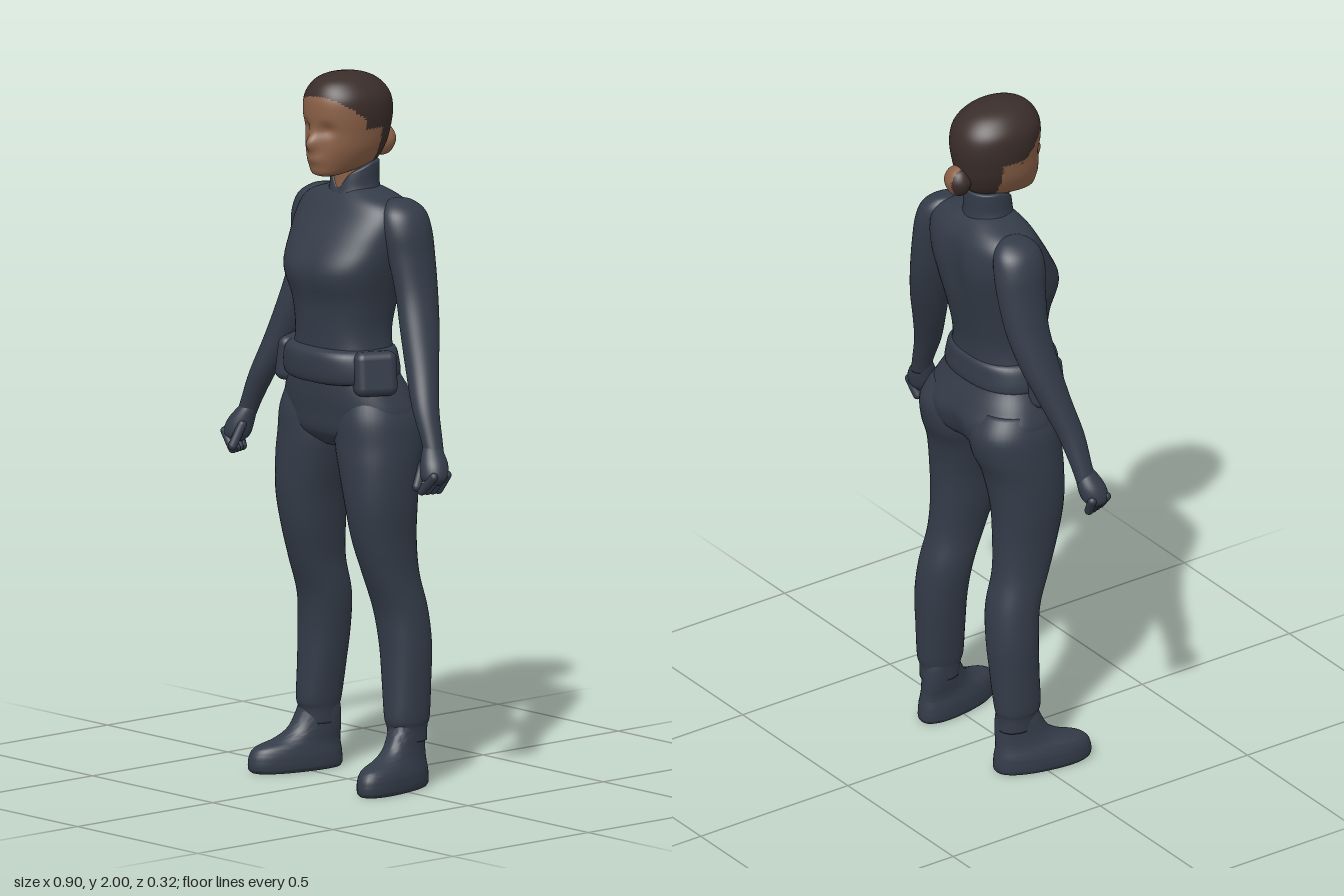
import * as THREE from 'three';
import { toCreasedNormals } from 'three/addons/utils/BufferGeometryUtils.js';
import { RoundedBoxGeometry } from 'three/addons/geometries/RoundedBoxGeometry.js';

const suit = new THREE.MeshStandardMaterial({ color: 0x343c49 });
suit.name = 'slate suit';
const skin = new THREE.MeshStandardMaterial({ color: 0x8a6047 });
skin.name = 'skin';
const hair = new THREE.MeshStandardMaterial({ color: 0x3a2d2a });
hair.name = 'dark brown hair';

// Smooth skin through level rings [y, centreX, halfWidth, zFront, zBack], listed from low to high.
function loft(rings, { n = 2, sides = 40, steps = 5, side = 1, warp, isHair } = {}) {
  const rows = (rings.length - 1) * steps;
  const pos = [];
  const sample = (t, k) => {
    const i = Math.min(Math.floor(t), rings.length - 2), u = t - i;
    const at = (j) => rings[Math.max(0, Math.min(rings.length - 1, j))][k];
    const [a, b, c, d] = [at(i - 1), at(i), at(i + 1), at(i + 2)];
    return b + 0.5 * u * (c - a + u * (2 * a - 5 * b + 4 * c - d + u * (3 * (b - c) + d - a)));
  };
  const power = (v) => Math.sign(v) * Math.abs(v) ** (2 / n);
  const push = (x, y, z) => {
    const v = new THREE.Vector3(x, y, z);
    if (warp) warp(v);
    pos.push(v.x, v.y, v.z);
  };
  for (let r = 0; r <= rows; r++) {
    const [y, cx, rx, zf, zb] = [0, 1, 2, 3, 4].map((k) => sample(r / steps, k));
    for (let s = 0; s < sides; s++) {
      const a = (s / sides) * Math.PI * 2;
      push(cx * side + rx * power(Math.cos(a)), y, (zf + zb) / 2 + ((zf - zb) / 2) * power(Math.sin(a)));
    }
  }
  for (const [y, cx, , zf, zb] of [rings[0], rings[rings.length - 1]]) push(cx * side, y, (zf + zb) / 2);
  const low = (rows + 1) * sides, top = low + 1;
  const plain = [], marked = [];
  const tri = (...ids) => {
    const c = [0, 1, 2].map((k) => ids.reduce((sum, i) => sum + pos[i * 3 + k] / 3, 0));
    (isHair && isHair(...c) ? marked : plain).push(...ids);
  };
  for (let s = 0; s < sides; s++) {
    const e = (s + 1) % sides;
    for (let r = 0; r < rows; r++) {
      const a = r * sides + s, b = r * sides + e;
      tri(a, a + sides, b);
      tri(b, a + sides, b + sides);
    }
    tri(low, s, e);
    tri(top, rows * sides + e, rows * sides + s);
  }
  const geo = new THREE.BufferGeometry();
  geo.setAttribute('position', new THREE.Float32BufferAttribute(pos, 3));
  geo.setIndex([...plain, ...marked]);
  if (isHair) {
    geo.addGroup(0, plain.length, 0);
    geo.addGroup(plain.length, marked.length, 1);
  }
  geo.computeVertexNormals();
  return geo;
}

export function createModel() {
  const model = new THREE.Group();
  model.name = 'standingWoman';
  const add = (name, geo, mat) => {
    const mesh = new THREE.Mesh(geo, mat);
    mesh.name = name;
    model.add(mesh);
    return mesh;
  };
  const bump = (x, c, w) => Math.exp(-(((x - c) / w) ** 2));

  // Torso and hips, with a groove down the spine and between the buttocks
  add('torso', loft([
    [0.95, 0, 0.07, 0.06, -0.07], [0.99, 0, 0.185, 0.108, -0.13], [1.05, 0, 0.217, 0.12, -0.15],
    [1.11, 0, 0.198, 0.128, -0.128], [1.18, 0, 0.162, 0.13, -0.1], [1.27, 0, 0.14, 0.13, -0.098],
    [1.36, 0, 0.15, 0.138, -0.115], [1.45, 0, 0.172, 0.162, -0.138], [1.53, 0, 0.188, 0.125, -0.152],
    [1.6, 0, 0.192, 0.082, -0.145], [1.64, 0, 0.165, 0.058, -0.125], [1.665, 0, 0.1, 0.038, -0.1],
    [1.68, 0, 0.05, 0.02, -0.07],
  ], {
    n: 2.4, sides: 56,
    warp: (v) => {
      if (v.z < -0.05) v.z += 0.018 * bump(v.x, 0, 0.04) * (bump(v.y, 1.02, 0.06) + bump(v.y, 1.52, 0.1));
      if (v.z > 0.05) v.z -= 0.008 * bump(v.x, 0, 0.03) * bump(v.y, 1.45, 0.06);
    },
  }), suit);

  // Belt, dipping at the front
  add('belt', loft([
    [1.15, 0, 0.15, 0.115, -0.09], [1.16, 0, 0.176, 0.147, -0.108], [1.2, 0, 0.172, 0.157, -0.107],
    [1.23, 0, 0.158, 0.152, -0.102], [1.24, 0, 0.13, 0.12, -0.08],
  ], { n: 2.4, sides: 48, warp: (v) => { v.y -= 0.12 * Math.max(0, v.z) * (1.24 - v.y) / 0.09; } }), suit);

  // Collar, notched at the throat and lower in front
  add('collar', loft([
    [1.64, 0, 0.09, 0.05, -0.1], [1.68, 0, 0.07, 0.046, -0.094], [1.73, 0, 0.069, 0.04, -0.094],
    [1.745, 0, 0.066, 0.036, -0.091], [1.745, 0, 0.045, 0.02, -0.07],
  ], {
    warp: (v) => {
      const drop = v.z > -0.03 ? 0.3 * (v.z + 0.03) / 0.07 + 0.42 * bump(v.x, 0, 0.026) * (v.z > 0 ? 1 : 0) : 0;
      v.y = 1.64 + (v.y - 1.64) * (1 - drop);
    },
  }), suit);

  // Neck
  add('neck', loft([
    [1.62, 0, 0.058, 0.04, -0.085], [1.7, 0, 0.056, 0.036, -0.084], [1.8, 0, 0.056, 0.04, -0.085],
  ]), skin);

  // Head with nose, brow and eye hollows; the hairline splits the two colours
  add('head', loft([
    [1.713, 0, 0.02, 0.1, 0.05], [1.722, 0, 0.042, 0.121, 0.005], [1.745, 0, 0.066, 0.128, -0.085],
    [1.79, 0, 0.09, 0.13, -0.115], [1.84, 0, 0.102, 0.128, -0.128], [1.89, 0, 0.109, 0.132, -0.133],
    [1.935, 0, 0.105, 0.128, -0.122], [1.97, 0, 0.081, 0.108, -0.092], [1.99, 0, 0.05, 0.075, -0.05],
    [2.0, 0, 0.005, 0.02, 0.01],
  ], {
    n: 2.1, sides: 72, steps: 8,
    warp: (v) => {
      if (v.z < 0.05) return;
      v.z += 0.026 * bump(v.x, 0, 0.016) * bump(v.y, 1.81, 0.025);
      v.z += 0.008 * bump(v.x, 0, 0.03) * bump(v.y, 1.765, 0.015);
      v.z -= 0.012 * bump(Math.abs(v.x), 0.042, 0.02) * bump(v.y, 1.85, 0.018);
    },
    isHair: (x, y, z) => y > (z > 0.02 ? 1.857 + (z - 0.02) * 0.8 + 0.15 * x : z > -0.04 ? 1.85 : 1.745),
  }), [skin, hair]);

  // Bun at the nape, dark on its right side
  add('bun', loft([
    [1.745, 0, 0.008, -0.115, -0.13], [1.757, 0, 0.028, -0.1, -0.15], [1.79, 0, 0.042, -0.09, -0.163],
    [1.82, 0, 0.03, -0.1, -0.152], [1.833, 0, 0.008, -0.115, -0.132],
  ], { isHair: (x) => x < -0.016 }), [skin, hair]);

  for (const side of [1, -1]) {
    const label = side > 0 ? 'left' : 'right';

    // Trouser leg
    add(label + 'Leg', loft([
      [0.13, 0.183, 0.045, 0.0, -0.115], [0.17, 0.183, 0.047, 0.004, -0.116], [0.2, 0.183, 0.053, 0.012, -0.123],
      [0.3, 0.176, 0.062, 0.01, -0.13], [0.4, 0.169, 0.07, 0.01, -0.135], [0.5, 0.158, 0.073, 0.022, -0.128],
      [0.6, 0.153, 0.069, 0.06, -0.105], [0.7, 0.147, 0.077, 0.092, -0.098], [0.8, 0.144, 0.089, 0.11, -0.1],
      [0.9, 0.131, 0.104, 0.115, -0.114], [0.97, 0.119, 0.113, 0.115, -0.14], [1.04, 0.117, 0.107, 0.113, -0.147],
      [1.1, 0.11, 0.09, 0.1, -0.115],
    ], { n: 2.2, side }), suit);

    // Boot, toes turned outward
    add(label + 'Boot', toCreasedNormals(loft([
      [0, 0.2, 0.052, 0.145, -0.12], [0.012, 0.2, 0.058, 0.155, -0.126], [0.045, 0.2, 0.058, 0.153, -0.124],
      [0.07, 0.199, 0.052, 0.135, -0.12], [0.088, 0.197, 0.047, 0.08, -0.118], [0.115, 0.194, 0.045, 0.035, -0.117],
      [0.16, 0.192, 0.044, 0.008, -0.114], [0.19, 0.19, 0.04, 0, -0.108],
    ], { n: 2.3, side, warp: (v) => { v.x += side * 0.18 * v.z; } }), 1), suit);

    // Arm, bending forward below the elbow
    add(label + 'Arm', loft([
      [0.97, 0.392, 0.026, 0.056, 0.0], [1.02, 0.373, 0.029, 0.054, -0.008], [1.1, 0.338, 0.037, 0.052, -0.025],
      [1.2, 0.295, 0.045, 0.035, -0.06], [1.3, 0.258, 0.049, 0.022, -0.095], [1.4, 0.226, 0.051, 0.012, -0.118],
      [1.5, 0.202, 0.055, 0.018, -0.128], [1.57, 0.187, 0.06, 0.026, -0.128], [1.62, 0.174, 0.053, 0.018, -0.118],
      [1.648, 0.16, 0.03, -0.01, -0.09], [1.655, 0.15, 0.006, -0.04, -0.06],
    ], { side }), suit);

    // Loosely curled hand with fingers and thumb
    add(label + 'Hand', loft([
      [0.9, 0.412, 0.022, 0.07, 0.025], [0.92, 0.41, 0.039, 0.083, 0.008], [0.955, 0.402, 0.038, 0.078, 0.0],
      [0.99, 0.386, 0.028, 0.06, 0.002], [1.01, 0.377, 0.018, 0.045, 0.006],
    ], { side, sides: 28 }), suit);
    const digit = (name, from, to, r) => {
      const a = new THREE.Vector3(from[0] * side, from[1], from[2]);
      const b = new THREE.Vector3(to[0] * side, to[1], to[2]);
      const mesh = add(label + name, new THREE.CapsuleGeometry(r, a.distanceTo(b), 5, 12), suit);
      mesh.position.copy(a).add(b).multiplyScalar(0.5);
      mesh.quaternion.setFromUnitVectors(new THREE.Vector3(0, 1, 0), b.sub(a).normalize());
    };
    for (let i = 0; i < 4; i++) {
      digit('Finger', [0.434, 0.925, 0.02 + i * 0.016], [0.408 - i * 0.005, 0.882, 0.028 + i * 0.016], 0.013);
    }
    digit('Thumb', [0.375, 0.95, 0.058], [0.383, 0.893, 0.086], 0.013);

    // Belt pouch
    const pouch = add(label + 'Pouch', new RoundedBoxGeometry(0.07, 0.125, 0.12, 4, 0.024), suit);
    pouch.position.set(side * 0.168, 1.175, 0.05);
    pouch.rotation.set(0, -side * 0.45, side * 0.12);
  }
  return model;
}
